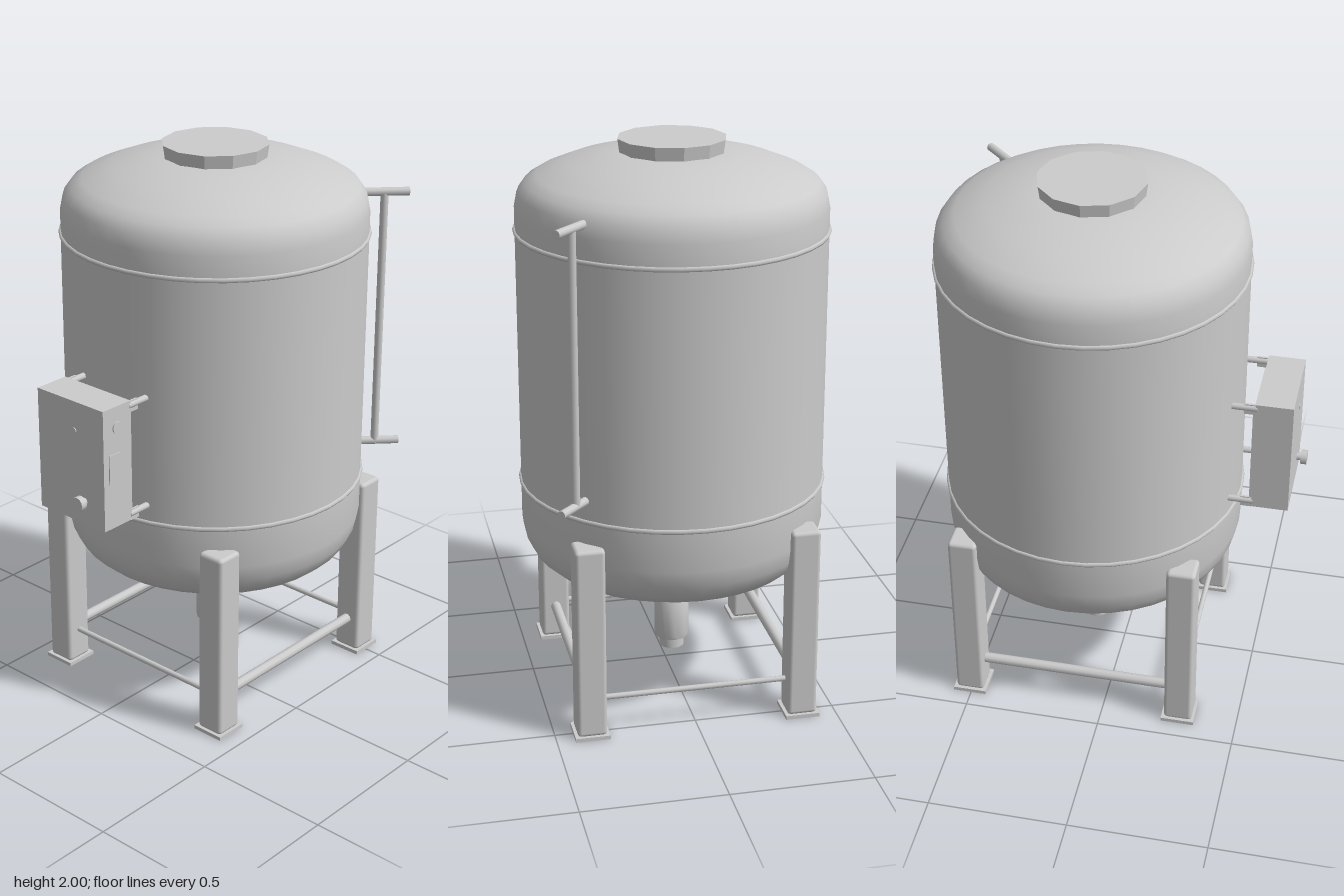
import * as THREE from 'three';
import { toCreasedNormals } from 'three/addons/utils/BufferGeometryUtils.js';
import { RoundedBoxGeometry } from 'three/addons/geometries/RoundedBoxGeometry.js';

const material = new THREE.MeshStandardMaterial({ color: 0xcccccc });
const CX = 0.11; // tank axis

export function createModel() {
  const model = new THREE.Group();

  const add = (name, geometry, x = 0, y = 0, z = 0) => {
    const mesh = new THREE.Mesh(geometry, material);
    mesh.name = name;
    mesh.position.set(x, y, z);
    model.add(mesh);
    return mesh;
  };
  const lathe = (name, points, sides, crease = 0.6) => add(name, toCreasedNormals(
    new THREE.LatheGeometry(points.map(([r, y]) => new THREE.Vector2(r, y)), sides), crease), CX);
  // Round bar between two points
  const bar = (name, a, b, radius, sides = 10) => {
    const from = new THREE.Vector3(...a), to = new THREE.Vector3(...b);
    const dir = to.clone().sub(from);
    const mesh = add(name, new THREE.CylinderGeometry(radius, radius, dir.length(), sides));
    mesh.position.copy(from).add(to).multiplyScalar(0.5);
    mesh.quaternion.setFromUnitVectors(new THREE.Vector3(0, 1, 0), dir.normalize());
    return mesh;
  };

  // Vessel with rounded shoulders
  lathe('tank', [
    [0, 0.475], [0.40, 0.48], [0.455, 0.495], [0.495, 0.53], [0.522, 0.58], [0.535, 0.64],
    [0.535, 0.79], [0.535, 1.69], [0.535, 1.77], [0.525, 1.82], [0.5, 1.855], [0.46, 1.88],
    [0.36, 1.92], [0.24, 1.947], [0.17, 1.955], [0, 1.958],
  ], 40, 0.8);
  for (const y of [0.79, 1.69]) {
    const seam = add('weldSeam', new THREE.TorusGeometry(0.534, 0.009, 6, 40), CX, y);
    seam.rotation.x = Math.PI / 2;
  }

  // Top hatch and bottom collar
  lathe('hatch', [[0.165, 1.93], [0.18, 1.95], [0.187, 2], [0, 2]], 12, 0.4);
  lathe('bottomCollar', [[0, 0.415], [0.175, 0.415], [0.18, 0.48]], 14);

  // Agitator drive below the vessel
  lathe('motor', [
    [0, 0.11], [0.045, 0.11], [0.045, 0.15], [0.06, 0.15], [0.063, 0.16], [0.063, 0.31],
    [0.055, 0.325], [0.042, 0.325], [0.042, 0.34], [0.065, 0.34], [0.065, 0.36], [0.05, 0.36],
    [0.05, 0.375], [0.08, 0.375], [0.08, 0.395], [0.065, 0.395], [0.065, 0.42],
  ], 20);
  bar('valveHandle', [0.23, 0.38, -0.01], [0.23, 0.367, 0.125], 0.013);

  // Legs with foot plates
  const legX = [-0.285, 0.505], legZ = [-0.375, 0.375];
  for (const x of legX) for (const z of legZ) {
    add('leg', new RoundedBoxGeometry(0.104, 0.7, 0.104, 2, 0.014), x, 0.36, z);
    add('footPlate', new THREE.BoxGeometry(0.122, 0.014, 0.122), x, 0.007, z);
  }
  // Bracing between the legs
  for (const z of legZ) bar('crossBar', [legX[0], 0.133, z], [legX[1], 0.133, z], 0.019);
  for (const x of legX) bar('sideBar', [x, 0.133, legZ[0]], [x, 0.133, legZ[1]], 0.01);

  // Level gauge: vertical tube held by two diagonal arms
  bar('gaugeTube', [0.527, 0.86, 0.415], [0.527, 1.815, 0.415], 0.014);
  for (const y of [0.866, 1.812]) bar('gaugeArm', [0.47, y, 0.36], [0.59, y, 0.475], 0.015);

  // Control cabinet on the right-hand side
  add('cabinet', new THREE.BoxGeometry(0.13, 0.44, 0.305), -0.55, 1.055, 0.002);
  add('cabinetBackPlate', new THREE.BoxGeometry(0.012, 0.38, 0.29), -0.481, 1.04, 0.002);
  for (const y of [0.855, 1.255]) for (const z of [-0.142, 0.146]) {
    bar('cabinetBracket', [-0.49, y, z], [-0.27, y, z], 0.012);
    add('bracketFlange', new THREE.BoxGeometry(0.04, 0.04, 0.008), -0.465, y - 0.005, z);
  }
  bar('sideButton', [-0.55, 1.2, 0.15], [-0.55, 1.2, 0.16], 0.022, 12);
  add('sidePanel', new THREE.BoxGeometry(0.056, 0.105, 0.006), -0.563, 1.055, 0.155);
  bar('doorKnobStem', [-0.61, 0.92, 0.06], [-0.635, 0.92, 0.06], 0.014);
  bar('doorKnob', [-0.63, 0.92, 0.06], [-0.652, 0.92, 0.06], 0.026, 12);
  bar('doorLamp', [-0.61, 1.17, 0.02], [-0.619, 1.17, 0.02], 0.01);

  return model;
}
